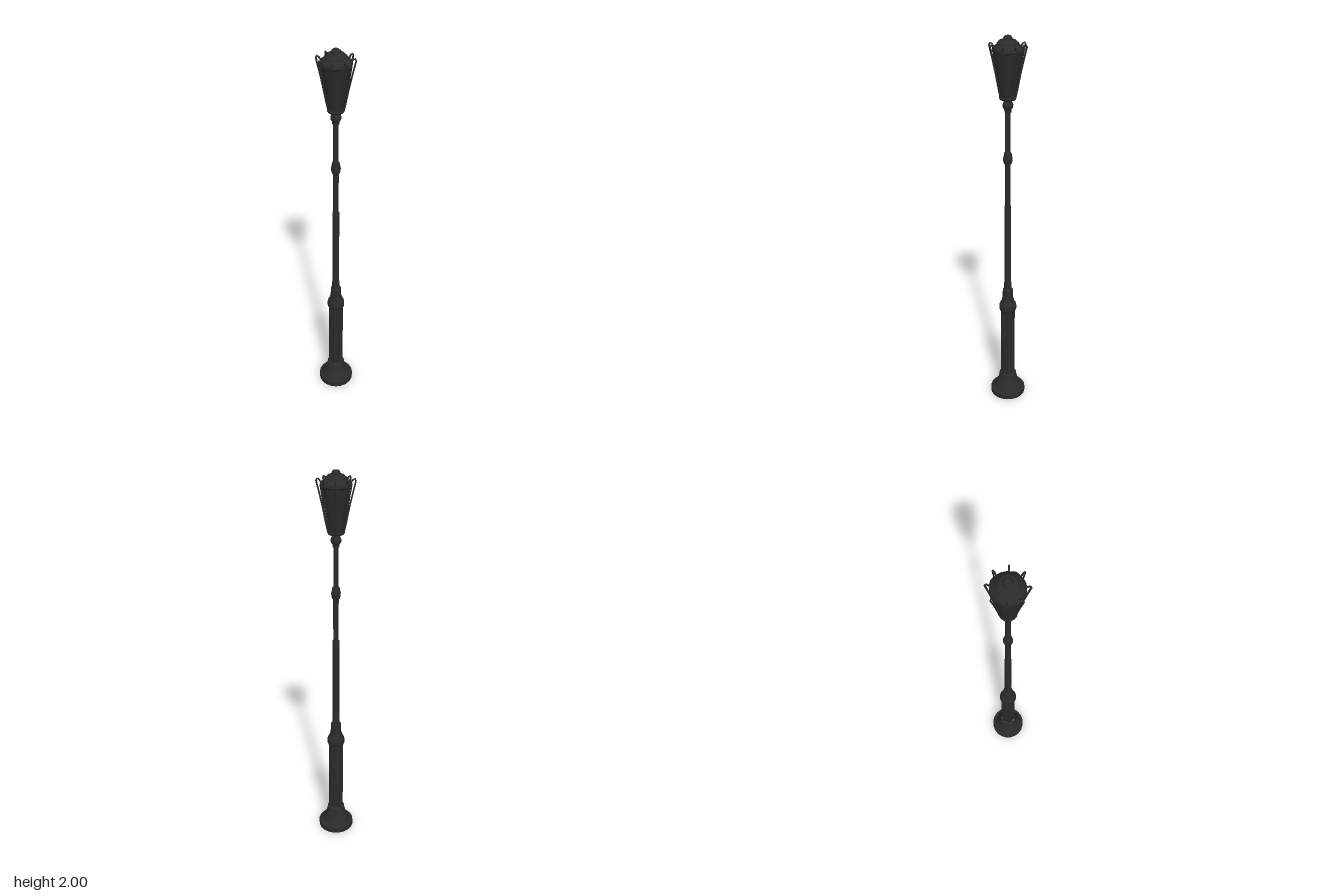
import * as THREE from 'three';
import { toCreasedNormals } from 'three/addons/utils/BufferGeometryUtils.js';

const iron = new THREE.MeshStandardMaterial({ color: 0x2b2b2b, side: THREE.DoubleSide });

function add(group, name, geometry, crease = 0.6) {
  const mesh = new THREE.Mesh(toCreasedNormals(geometry, crease), iron);
  mesh.name = name;
  group.add(mesh);
  return mesh;
}

// Turned part from [radius, height] pairs
function turned(group, name, profile, sides = 20) {
  const points = profile.map(([r, y]) => new THREE.Vector2(r, y));
  return add(group, name, new THREE.LatheGeometry(points, sides));
}

// Column section with vertical grooves
function flutedShaft(radius, depth, y0, y1, flutes) {
  const shape = new THREE.Shape();
  const steps = flutes * 6;
  for (let i = 0; i < steps; i++) {
    const a = (i / steps) * Math.PI * 2;
    const r = radius - depth * Math.pow(Math.abs(Math.sin((a * flutes) / 2)), 0.7);
    if (i === 0) shape.moveTo(r, 0);
    else shape.lineTo(r * Math.cos(a), r * Math.sin(a));
  }
  const geo = new THREE.ExtrudeGeometry(shape, { depth: y1 - y0, bevelEnabled: false });
  return geo.rotateX(-Math.PI / 2).translate(0, y0, 0);
}

export function createModel() {
  const model = new THREE.Group();
  model.name = 'streetLamp';

  // Hollow flared foot
  turned(model, 'foot', [
    [0.095, 0], [0.095, 0.028], [0.09, 0.035], [0.078, 0.037], [0.076, 0.045],
    [0.064, 0.06], [0.055, 0.08], [0.049, 0.105], [0.047, 0.108], [0.047, 0.122],
    [0.041, 0.13], [0.037, 0.132],
  ]);

  // Lower column and its collar
  add(model, 'flutedColumn', flutedShaft(0.039, 0.006, 0.128, 0.545, 10));
  turned(model, 'columnCollar', [
    [0.036, 0.535], [0.042, 0.54], [0.046, 0.552], [0.046, 0.572], [0.041, 0.587],
    [0.033, 0.597], [0.033, 0.607], [0.029, 0.61], [0.027, 0.668], [0.02, 0.672],
    [0.02, 0.71], [0.017, 0.713],
  ]);

  // Stepped upper pole with a turned knob
  turned(model, 'pole', [
    [0.018, 0.7], [0.017, 1.155], [0.014, 1.157], [0.014, 1.38], [0.019, 1.383],
    [0.023, 1.395], [0.024, 1.41], [0.02, 1.428], [0.018, 1.44], [0.013, 1.444],
    [0.013, 1.64], [0.017, 1.643], [0.017, 1.66],
  ], 14);

  // Lantern seat
  turned(model, 'lanternSeat', [
    [0.013, 1.645], [0.018, 1.657], [0.025, 1.667], [0.026, 1.68], [0.02, 1.693],
    [0.019, 1.7], [0.038, 1.705], [0.042, 1.713], [0.04, 1.72], [0, 1.721],
  ], 16);

  // Tapered lantern body and stepped roof
  turned(model, 'lanternBody', [[0.036, 1.718], [0.047, 1.79], [0.062, 1.89], [0.069, 1.935]], 16);
  turned(model, 'roof', [
    [0.069, 1.925], [0.075, 1.93], [0.075, 1.938], [0.068, 1.95], [0.053, 1.961],
    [0.051, 1.968], [0.04, 1.976], [0.038, 1.98], [0.022, 1.982], [0.021, 1.991],
    [0.014, 2.0], [0, 2.0],
  ], 24);

  // Curved ribs rising past the roof edge and hooking back onto it
  const ribs = new THREE.Group();
  ribs.name = 'lanternRibs';
  model.add(ribs);
  const path = new THREE.CatmullRomCurve3([
    [0.038, 1.715], [0.048, 1.76], [0.062, 1.83], [0.078, 1.9], [0.089, 1.945],
    [0.091, 1.958], [0.084, 1.963], [0.074, 1.953], [0.067, 1.942],
  ].map(([r, y]) => new THREE.Vector3(r, y, 0)));
  const ribGeometry = new THREE.TubeGeometry(path, 28, 0.0042, 6, false);
  for (let i = 0; i < 8; i++) {
    add(ribs, 'rib', ribGeometry, 1.2).rotation.y = ((i + 0.5) * Math.PI) / 4;
  }

  // Arched frames on the four main faces
  for (let i = 0; i < 4; i++) {
    const arch = new THREE.CatmullRomCurve3([
      [-0.016, 1.725], [-0.027, 1.82], [-0.035, 1.9], [-0.024, 1.932], [0, 1.942],
      [0.024, 1.932], [0.035, 1.9], [0.027, 1.82], [0.016, 1.725],
    ].map(([x, y]) => {
      const r = 0.039 + (y - 1.72) * 0.158;
      return new THREE.Vector3(x, y, Math.sqrt(r * r - x * x));
    }));
    const frame = add(model, 'archFrame', new THREE.TubeGeometry(arch, 36, 0.003, 5, false), 1.2);
    frame.rotation.y = (i * Math.PI) / 2;
  }

  return model;
}
